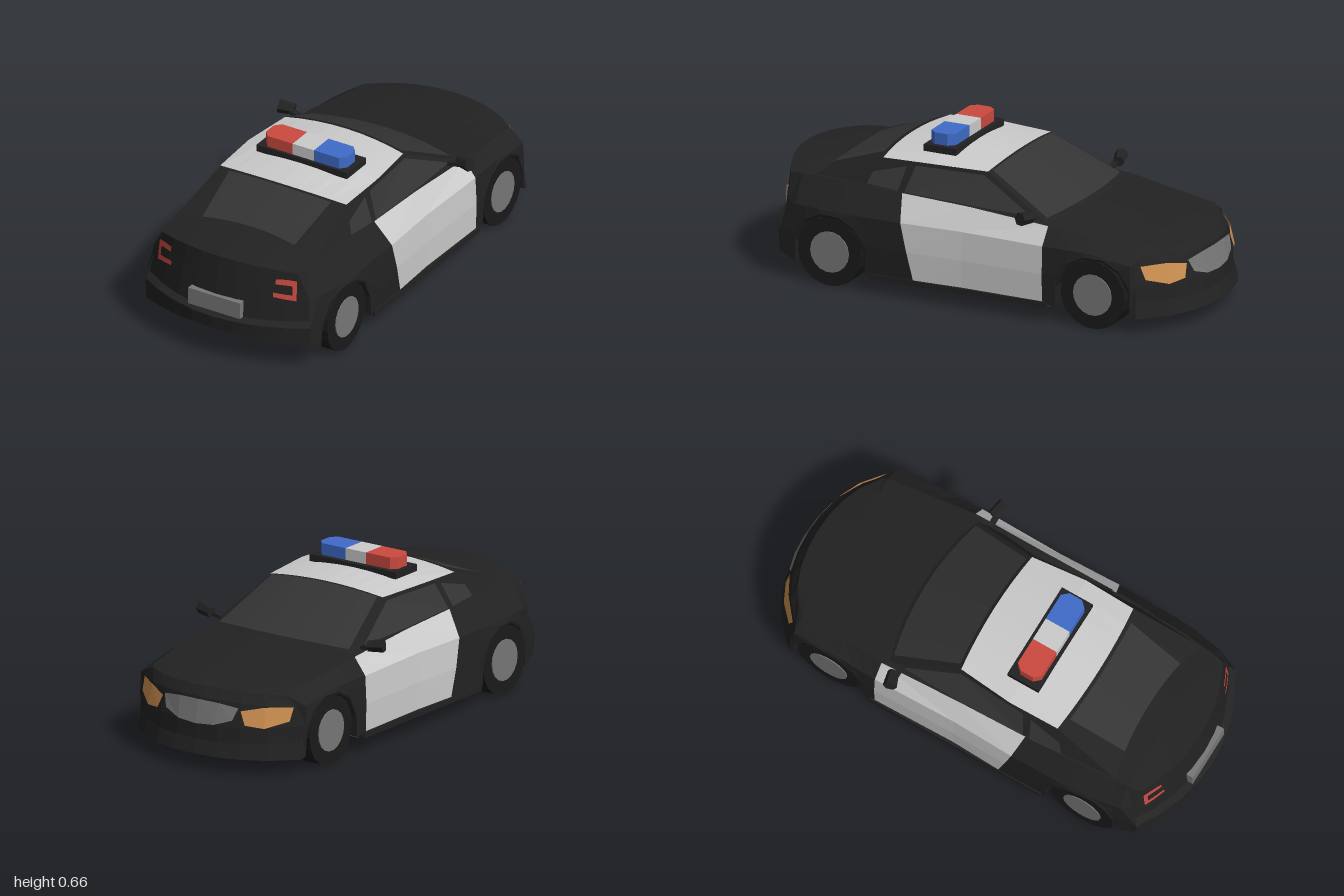
import * as THREE from 'three';

const mat = (color) => new THREE.MeshStandardMaterial({ color, flatShading: true, side: THREE.DoubleSide });
const black = mat(0x222222), glass = mat(0x343434), white = mat(0xcccccc), grey = mat(0x777777);
const tyre = mat(0x1a1a1a), red = mat(0xcc4a40), blue = mat(0x3f6bc8), amber = mat(0xcc8f50);
const lerp = THREE.MathUtils.lerp;

// Piecewise linear lookup in [[position, value], ...]
function along(table, p) {
  if (p <= table[0][0]) return table[0][1];
  for (let i = 1; i < table.length; i++) {
    const [a, va] = table[i - 1], [b, vb] = table[i];
    if (p <= b) return lerp(va, vb, (p - a) / (b - a));
  }
  return table[table.length - 1][1];
}

// Skin over rows of points; skip(i, j) leaves cells out
function skin(rows, skip = () => false) {
  const n = rows[0].length, index = [];
  for (let i = 0; i < rows.length - 1; i++)
    for (let j = 0; j < n - 1; j++) {
      if (skip(i, j)) continue;
      const a = i * n + j, b = a + 1, c = a + n, d = c + 1;
      index.push(a, c, b, b, c, d);
    }
  const g = new THREE.BufferGeometry();
  g.setAttribute('position', new THREE.Float32BufferAttribute(rows.flat(2), 3));
  g.setIndex(index);
  g.computeVertexNormals();
  return g;
}

// Body lines along z
const wideX = [[-0.8, 0.425], [-0.6, 0.435], [-0.38, 0.442], [0, 0.436], [0.31, 0.445], [0.62, 0.44], [0.8, 0.41]];
const beltX = [[-0.8, 0.35], [-0.38, 0.385], [0, 0.377], [0.31, 0.372], [0.62, 0.36], [0.8, 0.345]];
const beltY = [[-0.8, 0.345], [-0.6, 0.372], [-0.38, 0.405], [0, 0.43], [0.31, 0.44], [0.62, 0.45], [0.8, 0.445]];
const waistY = [[-0.8, 0.295], [-0.6, 0.33], [0, 0.335], [0.8, 0.33]];
const crown = [[-0.8, 0.02], [-0.38, 0.012], [0.31, 0.02], [0.62, 0.036], [0.8, 0.036]];
const columns = [-1, -0.75, -0.5, -0.25, 0, 0.25, 0.5, 0.75, 1];

// End faces, top to bottom: edge x, edge y, centre y, centre distance
const nose = { s: -1, bow: (x) => 0.7 * x * x + 2 * x ** 4, rows: [[0.345, 0.335, 0.345, 0.92],
  [0.39, 0.29, 0.305, 0.95], [0.41, 0.21, 0.2, 0.975], [0.418, 0.14, 0.13, 0.98], [0.425, 0.07, 0.07, 1]], pick: [4, 2, 1, 0] };
const tail = { s: 1, bow: (x) => 0.8 * x * x, rows: [[0.335, 0.44, 0.468, 0.94], [0.38, 0.33, 0.335, 0.955],
  [0.4, 0.225, 0.22, 0.968], [0.405, 0.205, 0.208, 1], [0.4, 0.11, 0.15, 0.995]], pick: [4, 3, 1, 0] };
const endPoint = (e, r, t) => [r[0] * t, lerp(r[2], r[1], t * t), e.s * (r[3] - e.bow(r[0] * t))];

// Point lying just off an end face
function onEnd(e, x, y) {
  const t = Math.min(1, Math.abs(x) / 0.4);
  const table = e.rows.map((r) => [lerp(r[2], r[1], t * t), r[3]]).reverse();
  return [x, y, e.s * (along(table, y) - e.bow(x) + 0.009)];
}

// Stations along the body with the height of the lower edge, rising over the wheels
const arch = [[-0.172, 0.08], [-0.165, 0.17], [-0.12, 0.26], [-0.045, 0.3], [0.045, 0.3], [0.12, 0.26], [0.165, 0.17], [0.172, 0.08]];
const archAt = (c) => arch.map(([d, y]) => [c + d, y]);
const FRONT = -0.61, REAR = 0.62;
const stations = [...archAt(FRONT), [-0.38, 0.08], [0, 0.08], [0.31, 0.08], ...archAt(REAR)];
const DOOR = 9; // first door station, counting the nose

function sideRow(z, edge, s) {
  const w = along(wideX, z), y6 = along(beltY, z);
  const slant = (y) => (z === 0.31 ? z - 0.25 * (y6 - y) : z);
  return [[0, 0.08], [0.3, 0.08], [0.3, edge], [w, edge], [w + 0.004, Math.max(0.21, edge + 0.012)],
    [w - 0.002, along(waistY, z)], [along(beltX, z), y6]].map(([x, y]) => [s * x, y, slant(y)]);
}
function sideEnd(e, s) {
  const low = e.rows[4], inner = endPoint(e, low, s * 0.3 / low[0]);
  return [endPoint(e, low, 0), inner, inner, ...e.pick.map((k) => endPoint(e, e.rows[k], s))];
}

// Crosswise arc from edge and centre points, s trims it at the sides
const arc = (edge, mid, s = 1) => columns.map((c) => {
  const t = c * s;
  return [edge[0] * t, lerp(mid[0], edge[1], t * t), lerp(mid[1], edge[2], t * t)];
});
const mix = (a, b, k, dy, dz) => a.map((p, i) => p.map((v, c) => lerp(v, b[i][c], k) + [0, dy, dz][c]));

export function createModel() {
  const car = new THREE.Group();
  car.name = 'car';
  const add = (name, geometry, material, x = 0, y = 0, z = 0) => {
    const m = new THREE.Mesh(geometry, material);
    m.name = name;
    m.position.set(x, y, z);
    car.add(m);
    return m;
  };
  const box = (name, material, w, h, d, x, y, z) => add(name, new THREE.BoxGeometry(w, h, d), material, x, y, z);

  // Hood, trunk and end faces
  const deck = stations.map(([z]) => columns.map((t) =>
    [along(beltX, z) * t, along(beltY, z) + along(crown, z) * (1 - t * t), z]));
  const face = (e) => e.rows.map((r) => columns.map((t) => endPoint(e, r, t)));
  add('hoodAndTrunk', skin([face(nose)[0], ...deck, face(tail)[0]]), black);
  add('noseFace', skin(face(nose)), black);
  add('tailFace', skin(face(tail)), black);

  // Cabin top
  const shield0 = [[0.36, 0.405, -0.36], [0.418, -0.41]], roof0 = [[0.29, 0.565, -0.05], [0.59, -0.065]];
  const roof1 = [[0.315, 0.568, 0.2], [0.602, 0.2]], roof2 = [[0.31, 0.56, 0.43], [0.578, 0.45]];
  const back = [[0.345, 0.445, 0.74], [0.48, 0.7]];
  add('windshieldFrame', skin([arc(...shield0), arc(...roof0)]), black);
  add('roof', skin([arc(...roof0), arc(...roof1), arc(...roof2)]), white);
  add('rearWindowFrame', skin([arc(...roof2), arc(...back)]), black);
  const pane = (name, a, b, s0, s1, k0, k1, dz) => {
    const at = (s, k) => mix(arc(...a, s), arc(...b, s), k, 0.005, dz);
    add(name, skin([at(s0, k0), at(s1, k1)]), glass);
  };
  pane('windshield', shield0, roof0, 0.94, 0.93, 0.06, 0.97, -0.003);
  pane('rearWindow', roof2, back, 0.8, 0.66, 0.05, 0.95, 0.003);

  for (const s of [1, -1]) {
    const side = s > 0 ? 'left' : 'right';
    const flip = (rows) => rows.map((r) => r.map(([x, y, z]) => [s * x, y, z]));

    // Lower side, wheel wells and door panel
    const rows = [sideEnd(nose, s), ...stations.map(([z, e]) => sideRow(z, e, s)), sideEnd(tail, s)];
    add(side + 'BodySide', skin(rows, (i, j) => i >= DOOR && i < DOOR + 2 && j >= 3), black);
    add(side + 'Doors', skin(rows.slice(DOOR, DOOR + 3).map((r) => r.slice(3))), white);
    box(side + 'Sill', black, 0.05, 0.025, 0.83, s * 0.425, 0.078, 0.015);

    // Cabin side with pillars and windows
    add(side + 'CabinSide', skin(flip([
      [[0.36, 0.405, -0.36], [0.372, 0.425, 0], [0.37, 0.435, 0.31], [0.362, 0.44, 0.5], [0.345, 0.445, 0.74]],
      [[0.36, 0.405, -0.36], [0.29, 0.565, -0.05], [0.312, 0.568, 0.2], [0.31, 0.56, 0.43], [0.345, 0.445, 0.74]]])), black);
    add(side + 'DoorWindow', skin(flip([[[0.366, 0.428, -0.28], [0.376, 0.436, 0], [0.374, 0.445, 0.3]],
      [[0.362, 0.435, -0.275], [0.304, 0.552, -0.04], [0.325, 0.553, 0.27]]])), glass);
    add(side + 'QuarterWindow', skin(flip([[[0.375, 0.447, 0.33], [0.366, 0.455, 0.48]],
      [[0.327, 0.545, 0.31], [0.344, 0.505, 0.46]]])), glass);

    // Door mirror
    const mirror = add(side + 'Mirror', new THREE.CylinderGeometry(0.024, 0.03, 0.07, 6), black, s * 0.437, 0.443, -0.3);
    mirror.rotation.set(0, s * -0.3, s * (Math.PI / 2 + 0.12));
    const stalk = box(side + 'MirrorStalk', black, 0.06, 0.016, 0.025, s * 0.39, 0.428, -0.295);
    stalk.rotation.z = s * 0.2;

    // Head lamp
    const lamp = (e, lines) => skin(lines.map((l) => l.map(([x, y]) => onEnd(e, s * x, y))));
    add(side + 'HeadLamp', lamp(nose, [[[0.2, 0.272], [0.29, 0.292], [0.385, 0.292]],
      [[0.225, 0.215], [0.3, 0.205], [0.38, 0.235]]]), amber);

    // Tail lamp bracket, open towards the middle
    add(side + 'TailLamp', lamp(tail, [[[0.257, 0.415], [0.3, 0.416], [0.337, 0.41], [0.341, 0.32], [0.3, 0.326], [0.25, 0.334]],
      [[0.257, 0.392], [0.3, 0.39], [0.322, 0.387], [0.324, 0.346], [0.3, 0.348], [0.25, 0.354]]]), red);

    // Wheels
    for (const [end, z] of [['Front', FRONT], ['Rear', REAR]]) {
      const disc = (name, r, w, m) => add(side + end + name, new THREE.CylinderGeometry(r, r, w, 18), m, s * 0.375, 0.15, z)
        .rotateZ(Math.PI / 2);
      disc('Tyre', 0.15, 0.108, tyre);
      disc('Hub', 0.09, 0.116, grey);
    }
  }

  // Grille, number plate and floor pan
  add('grille', skin([[[-0.19, 0.283], [-0.1, 0.295], [0, 0.297], [0.1, 0.295], [0.19, 0.283]],
    [[-0.17, 0.23], [-0.09, 0.203], [0, 0.197], [0.09, 0.203], [0.17, 0.23]]]
    .map((l) => l.map(([x, y]) => onEnd(nose, x, y)))), grey);
  box('numberPlate', grey, 0.255, 0.075, 0.03, 0, 0.258, 0.962);
  box('floorPan', grey, 0.84, 0.012, 0.82, 0, 0.069, 0.012);

  // Roof light bar
  box('lightBarBase', black, 0.445, 0.03, 0.15, 0, 0.6, 0.21);
  box('lightBarCentre', white, 0.105, 0.052, 0.115, 0, 0.64, 0.215);
  for (const [name, s, m] of [['redLight', -1, red], ['blueLight', 1, blue]]) {
    const plan = new THREE.Shape([[0.0525, -0.0575], [0.175, -0.0575], [0.2, -0.03], [0.2, 0.03], [0.175, 0.0575], [0.0525, 0.0575]]
      .map(([x, y]) => new THREE.Vector2(s * x, y)));
    const g = new THREE.ExtrudeGeometry(plan, { depth: 0.052, bevelEnabled: false }).rotateX(-Math.PI / 2);
    add(name, g, m, 0, 0.614, 0.215);
  }
  return car;
}
